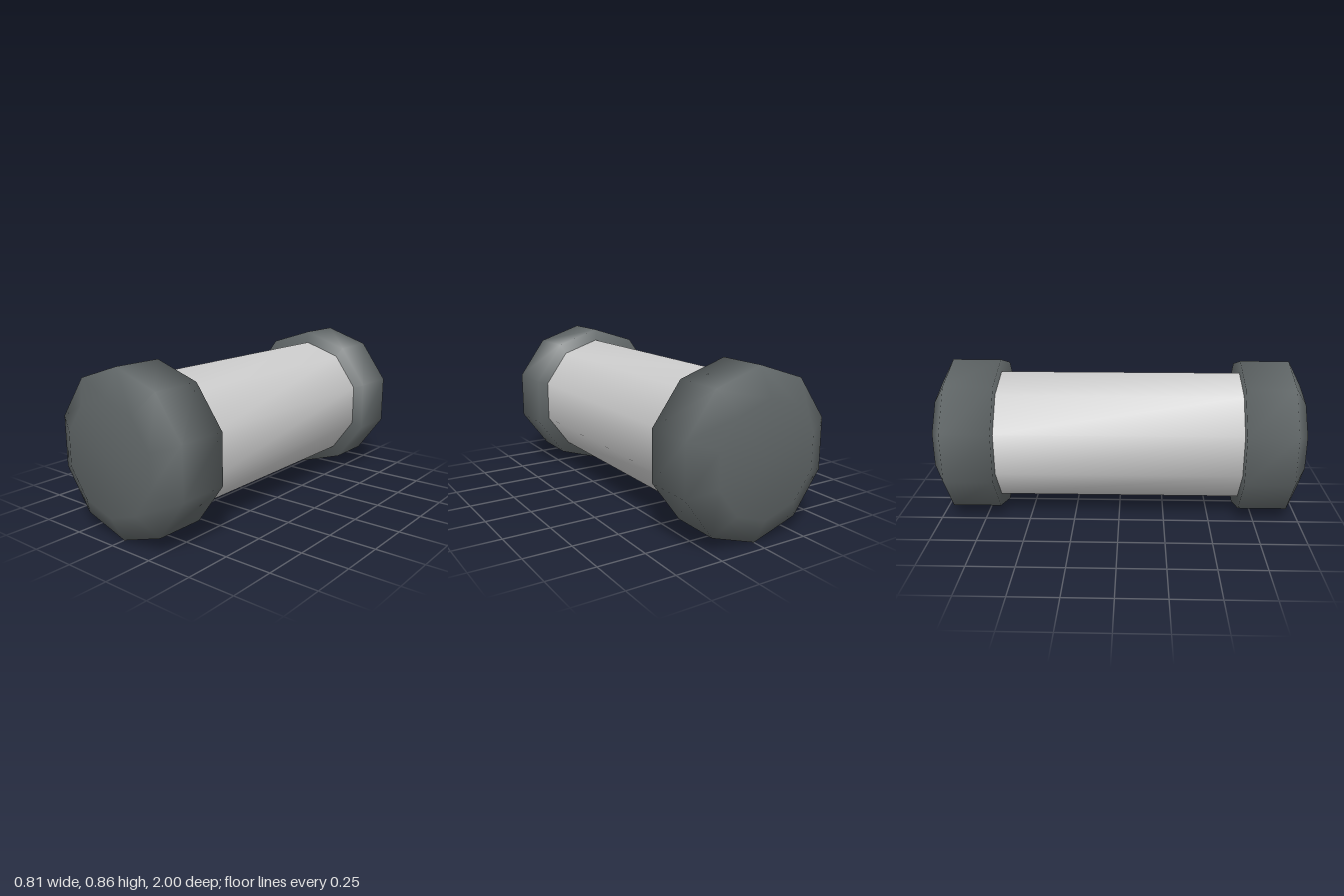
import * as THREE from 'three';
import { mergeVertices } from 'three/addons/utils/BufferGeometryUtils.js';

const SIDES = 10;
const RADIUS = 0.428;

// Ten-sided solid of revolution along z, with normals smoothed over every edge
function turned(profile) {
  const points = profile.map(([r, z]) => new THREE.Vector2(r, z));
  const lathe = new THREE.LatheGeometry(points, SIDES);
  lathe.deleteAttribute('normal');
  lathe.deleteAttribute('uv');
  const geometry = mergeVertices(lathe, 1e-4);
  geometry.rotateX(Math.PI / 2);
  geometry.computeVertexNormals();
  return geometry;
}

export function createModel() {
  const lightGrey = new THREE.MeshStandardMaterial({ color: 0xcccccc });
  lightGrey.name = 'lightGrey';
  const darkGrey = new THREE.MeshStandardMaterial({ color: 0x5f6566 });
  darkGrey.name = 'darkGrey';

  const model = new THREE.Group();
  model.name = 'cappedTube';

  // Central tube, its ends hidden inside the caps
  const tube = new THREE.Mesh(turned([[0.36, -0.67], [0.36, 0.67]]), lightGrey);
  tube.name = 'tube';
  tube.position.y = RADIUS;
  model.add(tube);

  // Chamfered caps at both ends
  const capGeometry = turned([[0, 0.66], [RADIUS, 0.66], [RADIUS, 0.925], [0.29, 1], [0, 1]]);
  for (const [name, turn] of [['frontCap', 0], ['backCap', Math.PI]]) {
    const cap = new THREE.Mesh(capGeometry, darkGrey);
    cap.name = name;
    cap.position.y = RADIUS;
    cap.rotation.y = turn;
    model.add(cap);
  }
  return model;
}
